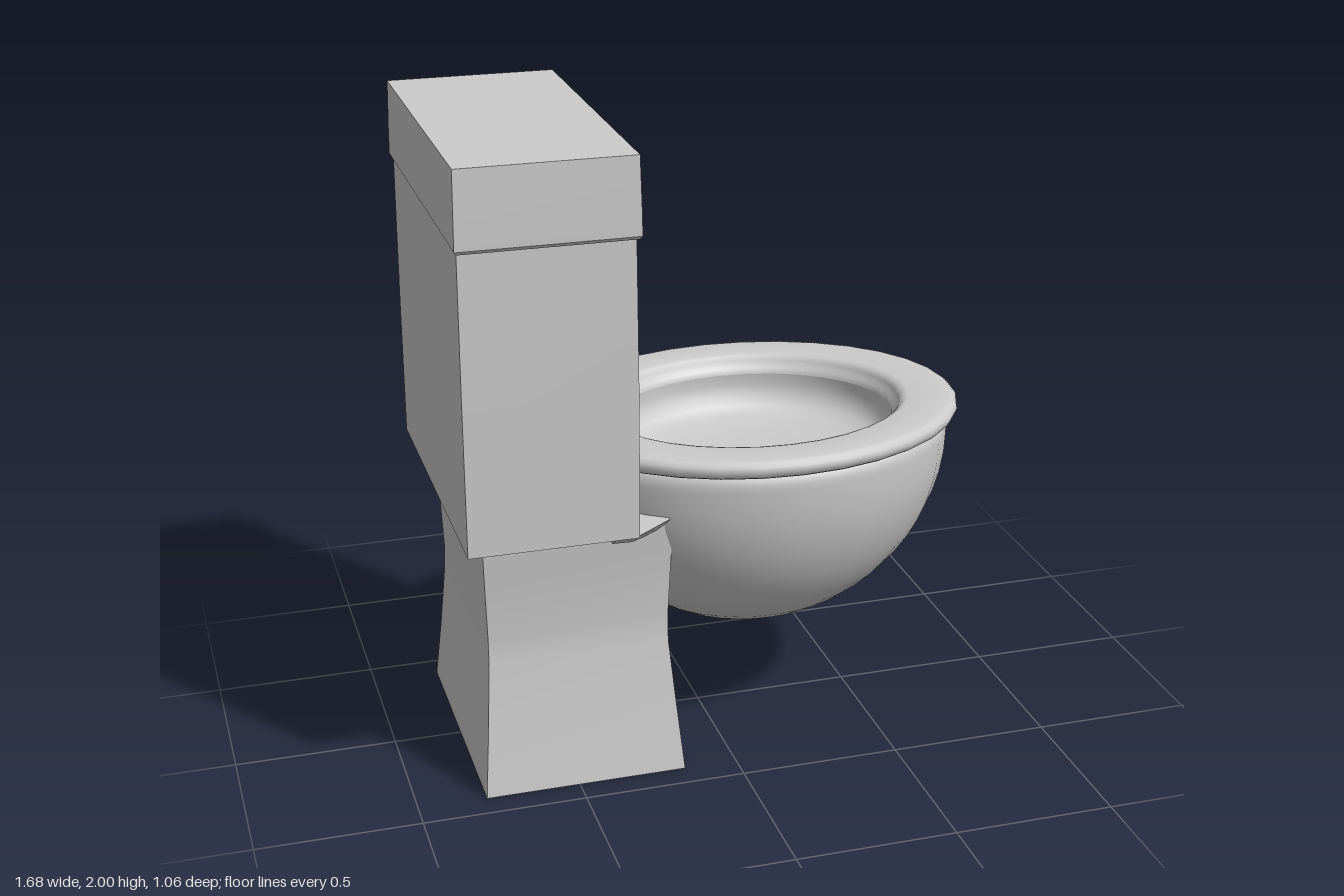
import * as THREE from 'three';
import { toCreasedNormals } from 'three/addons/utils/BufferGeometryUtils.js';

const material = new THREE.MeshStandardMaterial({ color: 0xcccccc, side: THREE.DoubleSide });

function part(name, geometry, parent) {
  const mesh = new THREE.Mesh(geometry, material);
  mesh.name = name;
  parent.add(mesh);
  return mesh;
}

// Box lofted through rows of [y, xBack, xFront, halfWidth]; smooth vertically, sharp at corners
function loftedBox(rows) {
  const n = rows.length - 1;
  const geo = new THREE.BoxGeometry(1, 1, 1, 1, n, 1);
  const pos = geo.attributes.position;
  for (let i = 0; i < pos.count; i++) {
    const [y, xBack, xFront, half] = rows[Math.round((pos.getY(i) + 0.5) * n)];
    pos.setXYZ(i, pos.getX(i) < 0 ? xBack : xFront, y, pos.getZ(i) < 0 ? -half : half);
  }
  geo.computeVertexNormals();
  return geo;
}

// Elliptical turned form around the bowl axis; radii are fractions of the rim
function ovalLathe(points, crease = 0.9) {
  const geo = new THREE.LatheGeometry(points.map(([r, y]) => new THREE.Vector2(r, y)), 32);
  geo.scale(0.663, 1, 0.527);
  geo.translate(0.175, 0, 0);
  return toCreasedNormals(geo, crease);
}

export function createModel() {
  const toilet = new THREE.Group();
  toilet.name = 'toilet';

  // Waisted pedestal
  part('pedestal', loftedBox([
    [0, -0.79, -0.165, 0.418],
    [0.21, -0.772, -0.183, 0.386],
    [0.42, -0.757, -0.2, 0.357],
    [0.5, -0.756, -0.2, 0.352],
    [0.66, -0.762, -0.194, 0.362],
    [0.79, -0.767, -0.19, 0.375],
    [0.845, -0.77, -0.205, 0.38],
  ]), toilet);

  // Flared bracket between pedestal, tank and bowl
  const bracket = new THREE.Shape([
    [-0.38, -0.48], [-0.32, -0.485], [-0.205, -0.4],
    [-0.205, 0.4], [-0.32, 0.485], [-0.38, 0.48],
  ].map(([x, z]) => new THREE.Vector2(x, z)));
  const bracketGeo = new THREE.ExtrudeGeometry(bracket, { depth: 0.06, bevelEnabled: false });
  bracketGeo.rotateX(-Math.PI / 2).translate(0, 0.785, 0);
  const bp = bracketGeo.attributes.position;
  for (let i = 0; i < bp.count; i++) if (bp.getY(i) < 0.8) bp.setZ(i, bp.getZ(i) * 0.82);
  bracketGeo.computeVertexNormals();
  part('bracket', bracketGeo, toilet);

  // Tank and overhanging lid
  part('tank', loftedBox([
    [0.85, -0.835, -0.327, 0.512],
    [1.3, -0.835, -0.325, 0.512],
    [1.78, -0.833, -0.327, 0.51],
  ]), toilet);
  part('tankLid', toCreasedNormals(loftedBox([
    [1.76, -0.836, -0.321, 0.523],
    [1.77, -0.842, -0.315, 0.53],
    [1.85, -0.841, -0.316, 0.529],
    [2, -0.838, -0.319, 0.524],
  ]), 0.4), toilet);

  // Bowl exterior: half ellipsoid with a short upright neck
  const shell = [];
  for (let i = 0; i <= 14; i++) {
    const a = (i / 14) * Math.PI / 2;
    shell.push([0.95 * Math.sin(a), 0.935 - 0.62 * Math.cos(a)]);
  }
  shell.push([0.95, 0.955], [0.94, 0.975], [0.915, 0.99]);
  part('bowl', ovalLathe(shell), toilet);

  // Rounded seat ring with a stepped inner lip
  part('seat', ovalLathe([
    [0.9, 0.985], [0.965, 0.985], [0.985, 0.992], [1, 1.01], [0.995, 1.025],
    [0.975, 1.037], [0.95, 1.04], [0.76, 1.04], [0.735, 1.036], [0.715, 1.022],
    [0.71, 1.005], [0.692, 0.998], [0.685, 0.98],
  ]), toilet);

  // Basin interior
  part('basin', ovalLathe([
    [0.685, 0.98], [0.688, 0.945], [0.675, 0.91], [0.635, 0.88],
    [0.56, 0.862], [0.4, 0.85], [0.2, 0.845], [0, 0.843],
  ]), toilet);

  return toilet;
}
